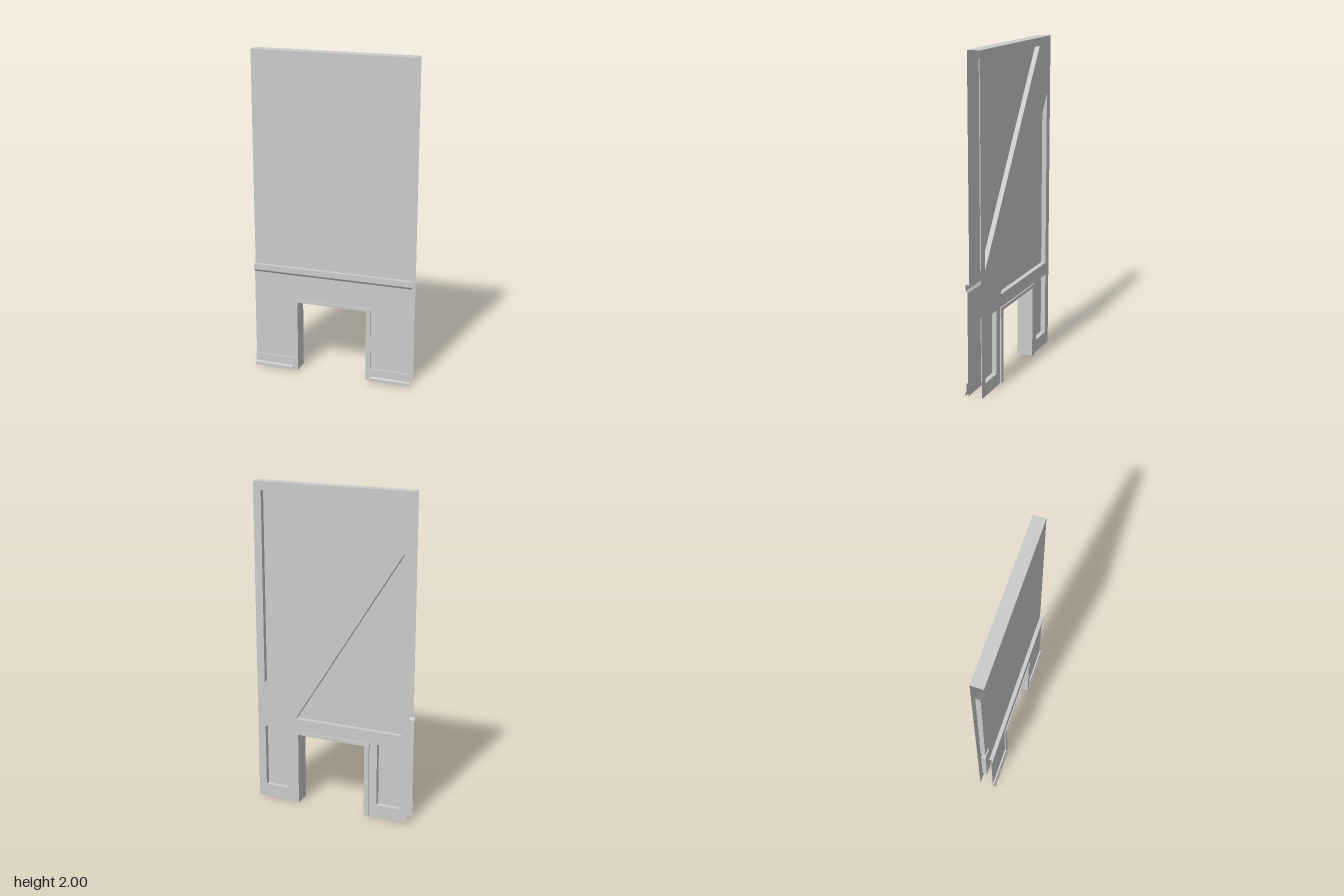
import * as THREE from 'three';

const W = 0.5, H = 2;
const BACK = 0.049, RECESS = 0.019;   // measured outward from the centre, on the rear
const FRONT = 0.026, LOWER = 0.039;   // upper and lower front surfaces
const material = new THREE.MeshStandardMaterial({ color: 0xcccccc, side: THREE.DoubleSide });

function mesh(name, geometry, parent) {
  const m = new THREE.Mesh(geometry, material);
  m.name = name;
  parent.add(m);
  return m;
}

const shapeOf = pts => new THREE.Shape(pts.map(([x, y]) => new THREE.Vector2(x, y)));

// Flat-shaded strip of quads between two rows of points
function strip(a, b) {
  const pos = [];
  for (let i = 0; i < a.length - 1; i++) {
    pos.push(...a[i], ...b[i], ...b[i + 1], ...a[i], ...b[i + 1], ...a[i + 1]);
  }
  const g = new THREE.BufferGeometry();
  g.setAttribute('position', new THREE.Float32BufferAttribute(pos, 3));
  g.computeVertexNormals();
  return g;
}

// Runs a [z, y] profile between two x positions
const run = (profile, x0, x1) =>
  strip(profile.map(([z, y]) => [x1, y, z]), profile.map(([z, y]) => [x0, y, z]));

// Wall outline with a doorway notch at the bottom
const wallOutline = top => [
  [-W, 0], [-0.25, 0], [-0.25, 0.475], [0.25, 0.475], [0.25, 0], [W, 0], [W, top], [-W, top],
];

export function createModel() {
  const model = new THREE.Group();
  model.name = 'doorwayWallPanel';

  // Top edge, upper front and the projecting rail, open at both ends
  mesh('topEdge', run([[-BACK, H], [FRONT, H]], -W, W), model);
  mesh('upperFront', run([[FRONT, H], [FRONT, 0.68]], -W, W), model);
  mesh('chairRail', run([[FRONT, 0.68], [0.05, 0.68], [0.05, 0.645], [LOWER, 0.63]], -W, W), model);

  // Lower front around the doorway
  mesh('lowerFront', new THREE.ShapeGeometry(shapeOf(wallOutline(0.63))), model).position.z = LOWER;

  // Skirting on each side, capped next to the doorway
  const skirting = [[LOWER, 0.08], [0.05, 0.08], [0.05, 0.03], [0.057, 0.02], [0.057, 0]];
  for (const s of [-1, 1]) {
    const side = new THREE.Group();
    side.name = s > 0 ? 'leftSkirting' : 'rightSkirting';
    mesh('skirtingFace', run(skirting, Math.min(s * 0.25, s * W), Math.max(s * 0.25, s * W)), side);
    const cap = mesh('skirtingCap', new THREE.ShapeGeometry(shapeOf([...skirting, [LOWER, 0]])), side);
    cap.rotation.y = -Math.PI / 2;
    cap.position.x = s * 0.25;
    model.add(side);
  }

  // Door frame through the full thickness
  const frame = new THREE.ExtrudeGeometry(shapeOf([
    [-0.25, 0], [-0.22, 0], [-0.22, 0.455], [0.22, 0.455], [0.22, 0], [0.25, 0], [0.25, 0.475], [-0.25, 0.475],
  ]), { depth: 0.103, bevelEnabled: false });
  mesh('doorFrame', frame, model).position.z = -0.057;

  // Rear wall, built facing forward and then turned round
  const rear = new THREE.Group();
  rear.name = 'rearWall';
  rear.rotation.y = Math.PI;
  model.add(rear);
  const recesses = [
    [[-0.45, 0.76], [0.33, 1.95], [-0.45, 1.95]],
    [[-0.24, 0.555], [0.45, 0.555], [0.45, 1.65]],
    ...[-0.45, 0.3].map(x => [[x, 0.08], [x + 0.15, 0.08], [x + 0.15, 0.475], [x, 0.475]]),
  ];
  const wall = shapeOf(wallOutline(H));
  for (const pts of recesses) {
    wall.holes.push(new THREE.Path(shapeOf(pts).getPoints()));
    const loop = [...pts, pts[0]];
    mesh('recessSides', strip(loop.map(p => [...p, RECESS]), loop.map(p => [...p, BACK])), rear);
    mesh('recessFloor', new THREE.ShapeGeometry(shapeOf(pts)), rear).position.z = RECESS;
  }
  mesh('rearFace', new THREE.ShapeGeometry(wall), rear).position.z = BACK;

  return model;
}
